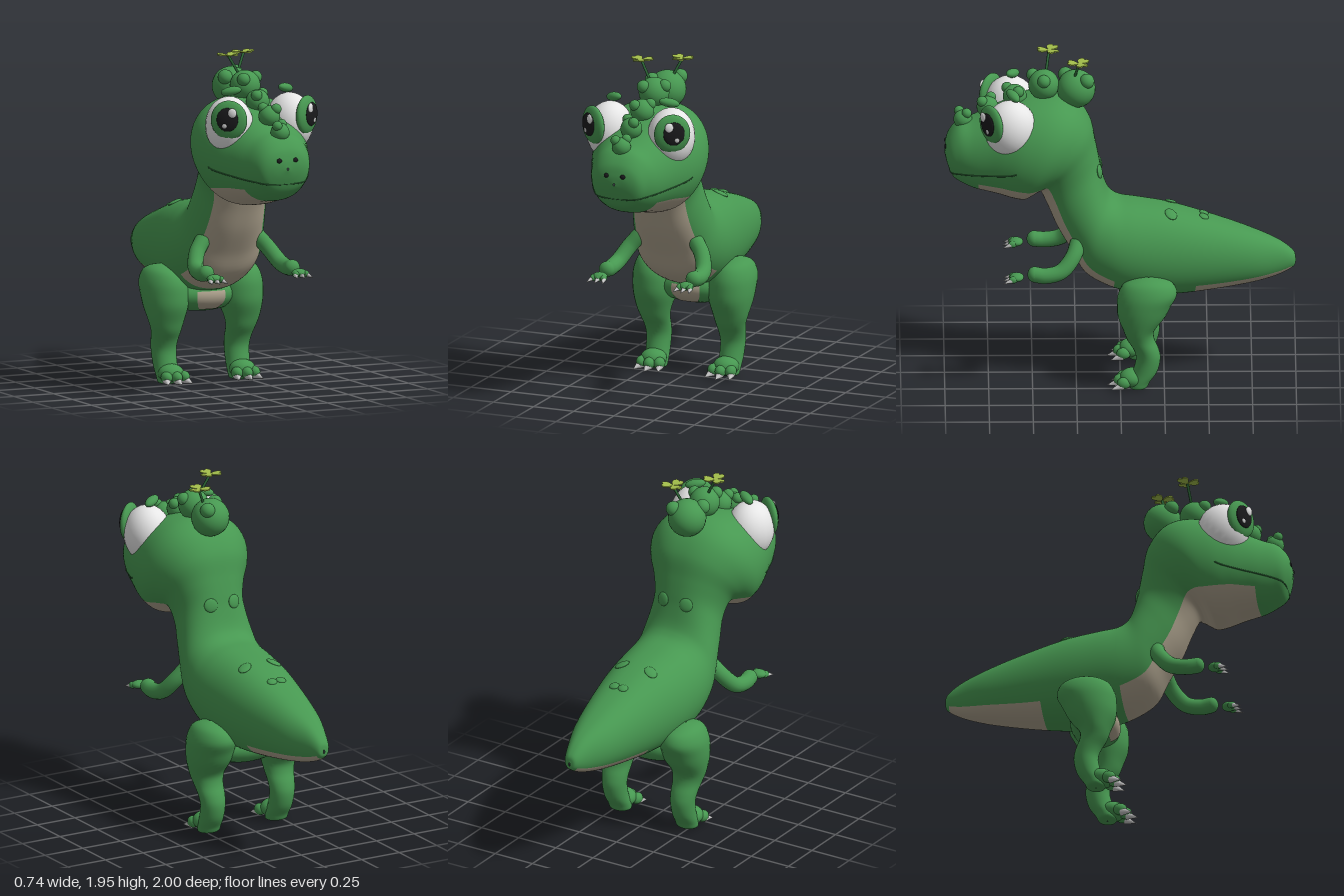
import * as THREE from 'three';

const mat = (name, color, side = THREE.FrontSide) => {
  const m = new THREE.MeshStandardMaterial({ color, side });
  m.name = name;
  return m;
};
const skinGreen = mat('skin green', 0x479851);
const bellyBeige = mat('belly beige', 0xafa48f);
const eyeWhite = mat('eye white', 0xe6e6e6);
const black = mat('black', 0x1a1a1c);
const cheekPink = mat('cheek pink', 0xc9476f);
const clawGrey = mat('claw grey', 0xc6c6c6);
const leafLime = mat('leaf lime', 0xa2bd4a, THREE.DoubleSide);
const darkGreen = mat('dark green', 0x2f6b3a);

const V = (x, y, z) => new THREE.Vector3(x, y, z);

function add(parent, name, geo, material, pos = [0, 0, 0]) {
  const m = new THREE.Mesh(geo, material);
  m.name = name;
  m.position.set(...pos);
  parent.add(m);
  return m;
}

function ball(parent, name, material, pos, r) {
  const m = add(parent, name, new THREE.SphereGeometry(1, 24, 16), material, pos);
  if (Array.isArray(r)) m.scale.set(...r); else m.scale.setScalar(r);
  return m;
}

// Closed rings joined into a skin; isPale picks the second material per face
function loft(rows, cols, point, isPale = () => false) {
  const pos = [], green = [], pale = [];
  for (let i = 0; i <= rows; i++)
    for (let j = 0; j < cols; j++) pos.push(...point(i / rows, (j / cols) * Math.PI * 2).toArray());
  for (let i = 0; i < rows; i++)
    for (let j = 0; j < cols; j++) {
      const k = (j + 1) % cols, a = i * cols + j, b = i * cols + k;
      const list = isPale((i + 0.5) / rows, ((j + 0.5) / cols) * Math.PI * 2) ? pale : green;
      list.push(a, a + cols, b, b, a + cols, b + cols);
    }
  const g = new THREE.BufferGeometry();
  g.setAttribute('position', new THREE.Float32BufferAttribute(pos, 3));
  g.setIndex([...green, ...pale]);
  g.addGroup(0, green.length, 0);
  g.addGroup(green.length, pale.length, 1);
  g.computeVertexNormals();
  return g;
}

// Tail to snout: [back z, back y, belly z, belly y, half width]
const spine = [
  [-1, 0.7, -1, 0.68, 0.005], [-0.985, 0.745, -0.985, 0.65, 0.04], [-0.9, 0.81, -0.9, 0.605, 0.08],
  [-0.75, 0.875, -0.75, 0.565, 0.14], [-0.55, 0.945, -0.5, 0.525, 0.195], [-0.3, 1.02, -0.28, 0.505, 0.24],
  [-0.1, 1.055, -0.12, 0.515, 0.262], [0, 1.07, 0.04, 0.55, 0.265], [0.05, 1.1, 0.2, 0.64, 0.25],
  [0.08, 1.15, 0.28, 0.78, 0.235], [0.105, 1.24, 0.36, 0.92, 0.215], [0.12, 1.32, 0.42, 1.06, 0.205],
  [0.14, 1.42, 0.465, 1.15, 0.23], [0.17, 1.55, 0.5, 1.14, 0.275], [0.25, 1.66, 0.53, 1.115, 0.315],
  [0.36, 1.71, 0.56, 1.1, 0.33], [0.5, 1.705, 0.62, 1.11, 0.32], [0.62, 1.67, 0.69, 1.13, 0.29],
  [0.74, 1.61, 0.76, 1.145, 0.25], [0.84, 1.565, 0.83, 1.16, 0.215], [0.92, 1.54, 0.9, 1.19, 0.18],
  [0.975, 1.48, 0.95, 1.225, 0.145], [0.995, 1.42, 0.98, 1.29, 0.09], [1, 1.37, 1, 1.355, 0.005],
];
const last = spine.length - 1;
const backLine = new THREE.CatmullRomCurve3(spine.map(s => V(s[4], s[1], s[0])), false, 'catmullrom', 0.5);
const bellyLine = new THREE.CatmullRomCurve3(spine.map(s => V(0, s[3], s[2])), false, 'catmullrom', 0.5);

function skin(t, a) {
  const T = backLine.getPoint(t), B = bellyLine.getPoint(t), c = Math.cos(a), s = Math.sin(a);
  return V(T.x * Math.sign(s) * Math.abs(s) ** 0.82,
    (T.y + B.y) / 2 + (c * (T.y - B.y)) / 2, (T.z + B.z) / 2 + (c * (T.z - B.z)) / 2);
}

function isBelly(t, a) {
  const z = bellyLine.getPoint(t).z;
  const inRange = (z > -0.975 && z < -0.43) || (z > 0.03 && z < 0.81);
  return inRange && Math.abs(a - Math.PI) < 0.87;
}

// Hip to ankle: [y, centre x, centre z, half width, half depth]
const legRings = [
  [0.685, 0.25, -0.16, 0.005, 0.005], [0.67, 0.25, -0.16, 0.06, 0.08], [0.64, 0.245, -0.16, 0.1, 0.14],
  [0.58, 0.238, -0.155, 0.13, 0.168], [0.51, 0.235, -0.135, 0.135, 0.155], [0.44, 0.235, -0.12, 0.127, 0.135],
  [0.36, 0.238, -0.105, 0.105, 0.09], [0.3, 0.235, -0.115, 0.088, 0.078], [0.24, 0.232, -0.145, 0.079, 0.072],
  [0.18, 0.23, -0.158, 0.073, 0.07], [0.1, 0.228, -0.14, 0.07, 0.07], [0.04, 0.225, -0.11, 0.07, 0.06],
  [0.005, 0.225, -0.1, 0.06, 0.05], [0.002, 0.225, -0.1, 0.003, 0.003],
];
const legCentre = new THREE.CatmullRomCurve3(legRings.map(r => V(r[1], r[0], r[2])), false, 'catmullrom', 0.5);
const legSize = new THREE.CatmullRomCurve3(legRings.map(r => V(r[3], 0, r[4])), false, 'catmullrom', 0.5);

function legPoint(t, a) {
  const c = legCentre.getPoint(t), r = legSize.getPoint(t);
  return V(c.x + r.x * Math.cos(a), c.y, c.z - r.z * Math.sin(a));
}

function claw(parent, base, dir, length, radius) {
  const d = V(...dir).normalize();
  const m = add(parent, 'claw', new THREE.ConeGeometry(radius, length, 10), clawGrey);
  m.position.set(...base).addScaledVector(d, length / 2);
  m.quaternion.setFromUnitVectors(V(0, 1, 0), d);
}

// Everything on the model's left, mirrored for its right
function buildSide() {
  const g = new THREE.Group();

  add(g, 'leg', loft(52, 28, legPoint), skinGreen);
  ball(g, 'foot', skinGreen, [0.225, 0.06, -0.07], [0.075, 0.055, 0.075]);
  for (const k of [-1, 0, 1]) {
    const x = 0.222 + k * 0.055, z = k ? -0.02 : 0;
    ball(g, 'toe', skinGreen, [x, 0.045, z], [0.032, 0.034, 0.04]);
    claw(g, [x + k * 0.003, 0.03, z + 0.01], [k * 0.3, -0.28, 1], 0.07, 0.026);
  }

  // Arm and hand
  const arm = new THREE.CatmullRomCurve3([V(0.17, 0.87, 0.24), V(0.225, 0.8, 0.27),
    V(0.265, 0.725, 0.34), V(0.275, 0.705, 0.43), V(0.27, 0.712, 0.49)]);
  add(g, 'arm', new THREE.TubeGeometry(arm, 24, 0.046, 16), skinGreen);
  ball(g, 'wrist', skinGreen, [0.27, 0.712, 0.49], [0.046, 0.045, 0.04]);
  ball(g, 'hand', skinGreen, [0.268, 0.695, 0.59], [0.045, 0.024, 0.04]);
  for (const k of [-1, 0, 1]) {
    ball(g, 'finger', skinGreen, [0.268 + k * 0.032, 0.69, 0.61], [0.018, 0.02, 0.025]);
    claw(g, [0.268 + k * 0.034, 0.688, 0.615], [k * 0.3, -0.3, 1], 0.06, 0.016);
  }

  // Eye, turned outwards
  ball(g, 'eyeball', eyeWhite, [0.19, 1.575, 0.625], [0.135, 0.168, 0.15]);
  const eye = new THREE.Group();
  eye.name = 'eyeFront';
  eye.position.set(0.245, 1.625, 0.735);
  eye.rotation.y = 0.6;
  g.add(eye);
  ball(eye, 'iris', skinGreen, [0, 0, 0], [0.105, 0.112, 0.036]);
  ball(eye, 'pupil', black, [0.005, 0.005, 0.03], [0.062, 0.068, 0.014]);
  ball(eye, 'highlight', eyeWhite, [-0.025, 0.045, 0.04], [0.025, 0.028, 0.01]);
  ball(eye, 'smallHighlight', clawGrey, [0.02, -0.03, 0.041], [0.014, 0.014, 0.006]);
  const brow = ball(g, 'eyebrow', skinGreen, [0.172, 1.77, 0.61], [0.06, 0.026, 0.03]);
  brow.rotation.set(0, 0.5, -0.2);

  const cheek = ball(g, 'cheek', cheekPink, [0.277, 1.385, 0.6], [0.022, 0.05, 0.065]);
  cheek.rotation.y = -0.25;
  ball(g, 'nostril', black, [0.05, 1.41, 0.987], [0.018, 0.015, 0.014]);

  // Flat spots down the neck and tail: [ring, angle, half width, half length]
  for (const [ring, a, w, h] of [[10.4, 0.3, 0.04, 0.04], [5.05, 0.33, 0.045, 0.033], [4.3, 0.09, 0.03, 0.027]]) {
    const t = ring / last, p = skin(t, a);
    const n = skin(t + 0.005, a).sub(p).cross(skin(t, a + 0.02).sub(p)).normalize();
    const spot = ball(g, 'backSpot', skinGreen, p.toArray(), [w, h, 0.012]);
    spot.quaternion.setFromUnitVectors(V(0, 0, 1), n);
  }
  return g;
}

// Three heart leaves on a thin stem
function clover(parent, from, to, turn) {
  const stem = new THREE.CatmullRomCurve3([V(...from), V(...to)]);
  add(parent, 'stem', new THREE.TubeGeometry(stem, 4, 0.008, 8), darkGreen);
  const heart = new THREE.Shape();
  heart.moveTo(0, 0);
  heart.bezierCurveTo(0.02, 0.015, 0.04, 0.035, 0.032, 0.055);
  heart.bezierCurveTo(0.025, 0.07, 0.006, 0.07, 0, 0.055);
  heart.bezierCurveTo(-0.006, 0.07, -0.025, 0.07, -0.032, 0.055);
  heart.bezierCurveTo(-0.04, 0.035, -0.02, 0.015, 0, 0);
  const geo = new THREE.ExtrudeGeometry(heart, { depth: 0.007, bevelEnabled: false, curveSegments: 8 });
  geo.rotateX(-Math.PI / 2 + 0.12);
  for (let i = 0; i < 3; i++)
    add(parent, 'cloverLeaf', geo, leafLime, to).rotation.y = turn + (i * Math.PI * 2) / 3;
}

export function createModel() {
  const root = new THREE.Group();
  root.name = 'sproutDinosaur';

  add(root, 'body', loft(138, 72, skin, isBelly), [skinGreen, bellyBeige]);

  // Hip bridge between the legs, with its pale front
  ball(root, 'hips', skinGreen, [0, 0.5, -0.14], [0.25, 0.1, 0.14]);
  add(root, 'hipPatch', new THREE.SphereGeometry(1, 16, 12, Math.PI / 2 - 0.36, 0.72, 1.3, 1.2),
    bellyBeige, [0, 0.5, -0.14]).scale.set(0.253, 0.103, 0.143);

  const left = buildSide(), right = buildSide();
  left.name = 'leftSide';
  right.name = 'rightSide';
  right.scale.x = -1;
  root.add(left, right);

  // Mouth line traced over the muzzle
  const half = [];
  for (let i = 0; i <= 20; i++) {
    const k = i / 20, t = (16.2 + 5.5 * k) / last, y = 1.34 - 0.07 * k ** 0.6;
    const top = backLine.getPoint(t).y, low = bellyLine.getPoint(t).y;
    const c = Math.max(-1, Math.min(1, (2 * y - top - low) / (top - low)));
    half.push(skin(t, Math.acos(c)));
  }
  const mouth = [...half.slice(0, -1), ...half.slice(0, -1).reverse().map(p => V(-p.x, p.y, p.z))];
  add(root, 'mouth', new THREE.TubeGeometry(new THREE.CatmullRomCurve3(mouth), 90, 0.004, 6), darkGreen);

  // Round knobs along the head, each with small buds: [y, z, radius, buds]
  const knobs = [
    [1.745, 0.25, 0.11, [[-0.6, 0.55, 0.55], [0.5, 0.6, -0.55]]],
    [1.77, 0.435, 0.088, [[0.75, 0.5, 0], [-0.45, 0.5, 0.7]]],
    [1.7, 0.6, 0.068, [[-0.4, 0.6, 0.65], [0.6, 0.6, -0.3]]],
    [1.635, 0.755, 0.062, [[0.45, 0.7, 0.5], [-0.5, 0.75, -0.3]]],
    [1.56, 0.895, 0.054, [[-0.5, 0.75, 0.4], [0.4, 0.8, -0.4]]],
  ];
  for (const [y, z, r, buds] of knobs) {
    ball(root, 'headKnob', skinGreen, [0, y, z], r);
    for (const [a, b, c] of buds)
      ball(root, 'knobBud', skinGreen, [a * r, y + b * r, z + c * r], 0.015 + r * 0.25);
  }

  clover(root, [-0.035, 1.84, 0.42], [-0.09, 1.94, 0.405], 1.1);
  clover(root, [0.04, 1.83, 0.26], [0.085, 1.925, 0.235], 0.95);
  return root;
}
